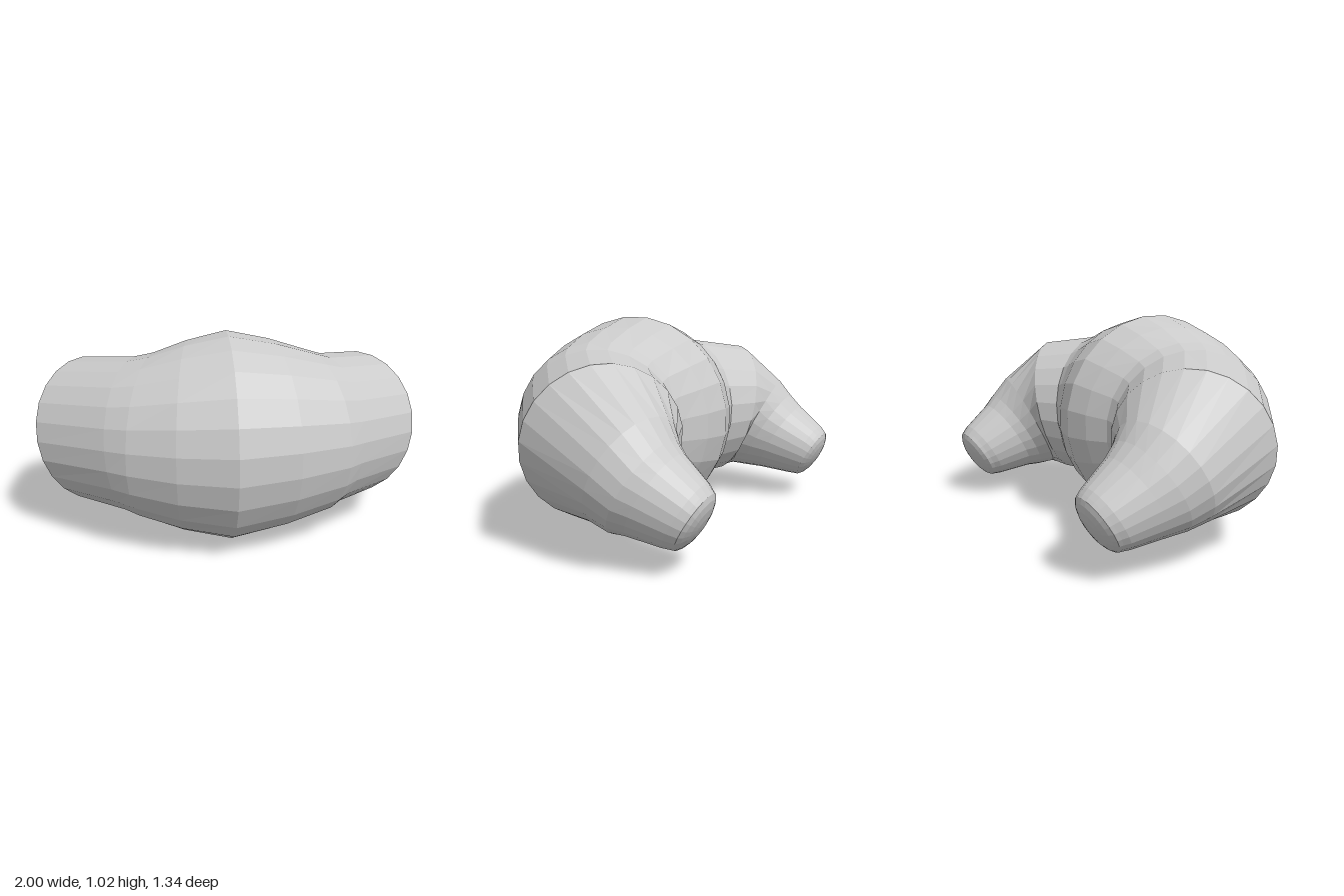
import * as THREE from 'three';

const SIDES = 24;

// Sections along the crescent, right tip to left tip:
// centre x, y, z, radius, yaw and pitch of the travel direction (degrees)
const SECTIONS = [
  [-0.742, 0.25, -0.585, 0.148, -92, -30],
  [-0.744, 0.262, -0.56, 0.16, -92, -30],
  [-0.742, 0.325, -0.415, 0.208, -91, -30],
  [-0.738, 0.36, -0.34, 0.24, -88, -30],
  [-0.73, 0.405, -0.27, 0.274, -80, -28],
  [-0.685, 0.49, -0.085, 0.368, -44, -14],
  [-0.46, 0.507, 0.085, 0.388, -23, -4],
  [-0.39, 0.51, 0.115, 0.41, -18, 0],
  [-0.22, 0.512, 0.14, 0.47, -9, 0],
  [-0.02, 0.515, 0.16, 0.515, 0, 0],
  [0.2, 0.512, 0.145, 0.47, 9, 0],
  [0.395, 0.51, 0.13, 0.41, 18, 0],
  [0.45, 0.507, 0.11, 0.385, 22, 4],
  [0.65, 0.49, -0.03, 0.37, 42, 13],
  [0.73, 0.4, -0.215, 0.274, 77, 27],
  [0.755, 0.342, -0.29, 0.238, 87, 30],
  [0.757, 0.315, -0.345, 0.21, 90, 30],
  [0.763, 0.247, -0.485, 0.163, 91, 30],
  [0.765, 0.234, -0.51, 0.15, 91, 30],
];

// Turns one section into a centre, radius and travel direction
function toFrame([x, y, z, r, yawDeg, pitchDeg]) {
  const yaw = THREE.MathUtils.degToRad(yawDeg);
  const pitch = THREE.MathUtils.degToRad(pitchDeg);
  const along = new THREE.Vector3(
    Math.cos(pitch) * Math.cos(yaw), -Math.sin(pitch), -Math.cos(pitch) * Math.sin(yaw));
  return { centre: new THREE.Vector3(x, y, z), r, along };
}

// Carries the ring axes from section to section without twisting
function addAxes(frames) {
  const turn = new THREE.Quaternion();
  const out = new THREE.Vector3(frames[0].along.z, 0, -frames[0].along.x).normalize().negate();
  frames.forEach((f, i) => {
    if (i > 0) out.applyQuaternion(turn.setFromUnitVectors(frames[i - 1].along, f.along));
    f.out = out.clone();
    f.up = new THREE.Vector3().crossVectors(f.out, f.along);
  });
}

// Shrinking rings that round off a tip; sign is the outward travel direction
function roundedTip(frame, sign) {
  const rings = [];
  for (let k = 1; k <= 5; k++) {
    const a = (k / 5) * Math.PI / 2;
    rings.push({
      ...frame,
      r: frame.r * Math.cos(a),
      centre: frame.centre.clone().addScaledVector(frame.along, sign * 0.055 * Math.sin(a)),
    });
  }
  return rings;
}

// Skins the rings into one closed surface
function skin(frames) {
  const positions = [];
  const index = [];
  for (const f of frames) {
    for (let j = 0; j < SIDES; j++) {
      const a = (j / SIDES) * Math.PI * 2;
      const p = f.centre.clone()
        .addScaledVector(f.out, f.r * Math.cos(a))
        .addScaledVector(f.up, f.r * Math.sin(a));
      positions.push(p.x, p.y, p.z);
    }
  }
  for (let i = 0; i < frames.length - 1; i++) {
    for (let j = 0; j < SIDES; j++) {
      const k = (j + 1) % SIDES;
      const a = i * SIDES + j, b = a + SIDES;
      const c = (i + 1) * SIDES + k, d = i * SIDES + k;
      index.push(a, b, c, a, c, d);
    }
  }
  const geometry = new THREE.BufferGeometry();
  geometry.setAttribute('position', new THREE.Float32BufferAttribute(positions, 3));
  geometry.setIndex(index);
  const flat = geometry.toNonIndexed();
  flat.computeVertexNormals();
  return flat;
}

export function createModel() {
  const group = new THREE.Group();
  group.name = 'croissant';

  const frames = SECTIONS.map(toFrame);
  addAxes(frames);
  const rightTip = roundedTip(frames[0], -1).reverse();
  const leftTip = roundedTip(frames[frames.length - 1], 1);

  // Crescent body with both tapered horns
  const body = new THREE.Mesh(
    skin([...rightTip, ...frames, ...leftTip]),
    new THREE.MeshStandardMaterial({ color: 0xcccccc, flatShading: true }));
  body.name = 'crescentBody';
  group.add(body);
  return group;
}
